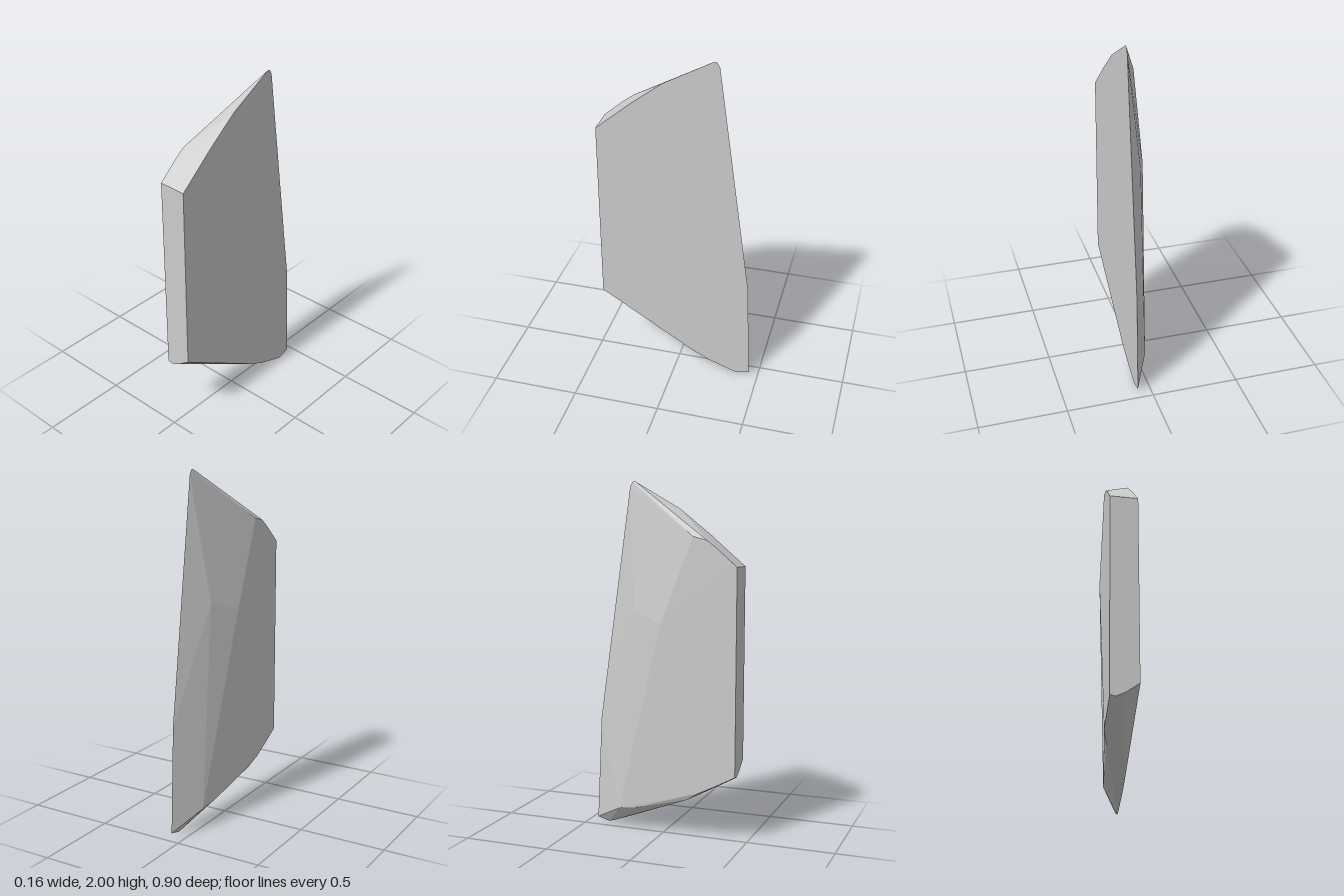
import * as THREE from 'three';
import { ConvexGeometry } from 'three/addons/geometries/ConvexGeometry.js';

export function createModel() {
  const group = new THREE.Group();
  group.name = 'facetedSlab';
  const grey = new THREE.MeshStandardMaterial({ color: 0xcccccc });
  grey.name = 'pale grey';

  const left = 0.076, right = -0.08;

  // Outline of the large flat side, as [z, y]
  const flatSide = [
    [0.45, 1.54], [0.25, 1.71], [0.07, 1.85], [-0.11, 1.95], [-0.2, 2], [-0.215, 1.997], [-0.23, 1.97],
    [-0.42, 0.63], [-0.448, 0.02], [-0.375, 0], [-0.33, 0.014], [-0.2, 0.062], [-0.1, 0.114], [0.45, 0.46],
  ];
  // Outline of the smaller opposite side, as [z, y]
  const smallSide = [
    [0.45, 1.545], [0.34, 1.64], [0.28, 1.685], [0.2, 1.705], [0.012, 1.22], [0.24, 0.28], [0.34, 0.33], [0.45, 0.39],
  ];
  // Ridge corners between the two sides, as [x, y, z]
  const ridge = [
    [-0.015, 1.285, -0.17], [-0.018, 0.12, -0.27], [-0.03, 0.14, -0.155],
    [-0.06, 0.23, 0.17], [-0.05, 0.383, 0.45], [0, 0.405, 0.45],
  ];

  const points = [
    ...flatSide.map(([z, y]) => new THREE.Vector3(left, y, z)),
    ...smallSide.map(([z, y]) => new THREE.Vector3(right, y, z)),
    ...ridge.map((p) => new THREE.Vector3(...p)),
  ];

  // One solid faceted body wrapped around the corners
  const slab = new THREE.Mesh(new ConvexGeometry(points), grey);
  slab.name = 'slab';
  group.add(slab);
  return group;
}
